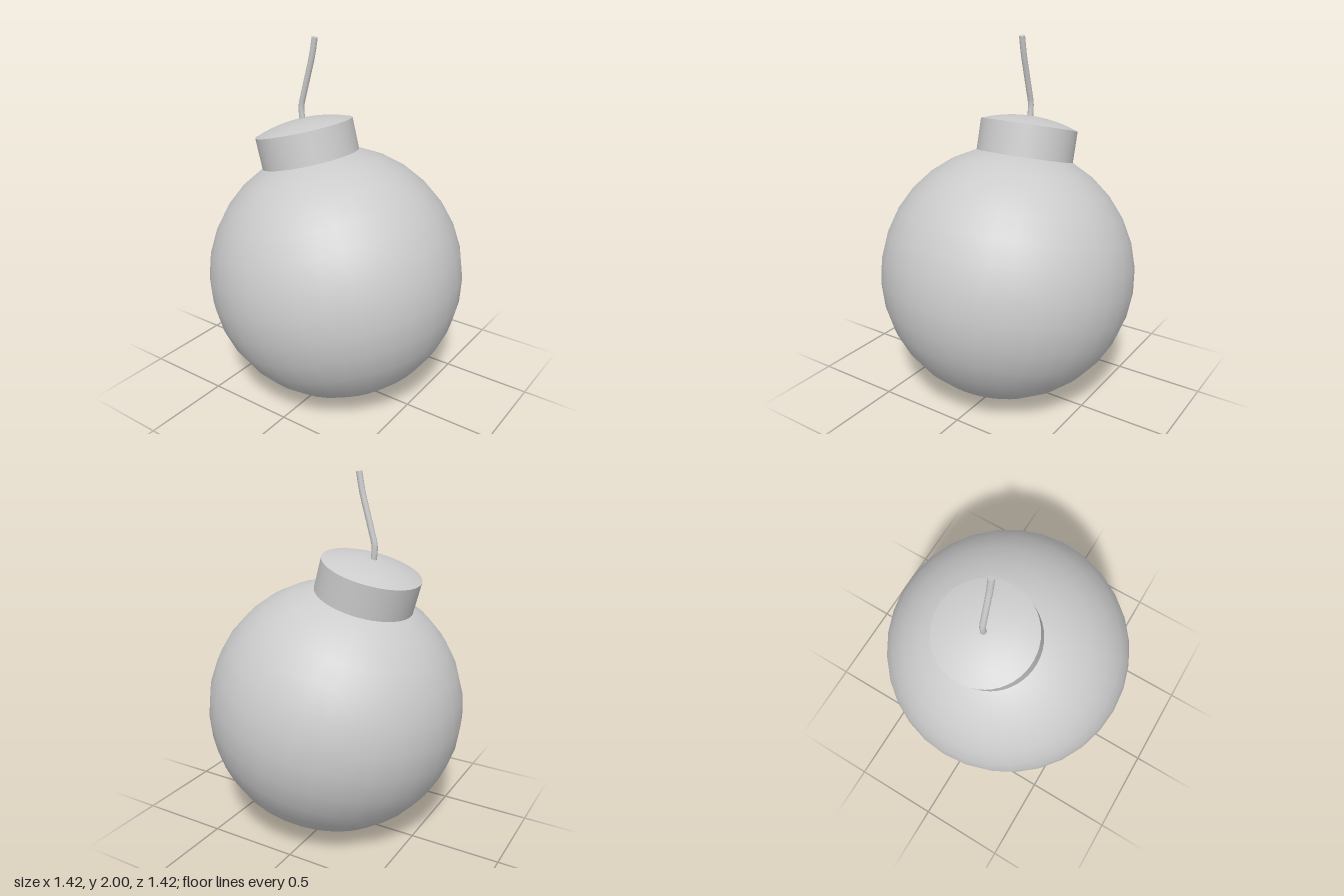
import * as THREE from 'three';

const R = 0.71;            // ball radius
const CAP_R = 0.27;        // collar radius
const CAP_TOP = 0.83;      // collar rim, measured from the ball centre
const DOME = 0.05;         // bulge of the collar lid
const FUSE_R = 0.016;

export function createModel() {
  const model = new THREE.Group();
  model.name = 'roundBomb';
  const grey = new THREE.MeshStandardMaterial({ color: 0xcccccc });
  const add = (parent, name, geometry) => {
    const mesh = new THREE.Mesh(geometry, grey);
    mesh.name = name;
    parent.add(mesh);
    return mesh;
  };

  // Ball and collar share one axis, leaning backwards
  const body = new THREE.Group();
  body.name = 'body';
  body.position.y = R;
  body.rotation.x = -THREE.MathUtils.degToRad(15);
  model.add(body);

  add(body, 'ball', new THREE.SphereGeometry(R, 32, 16));

  // Collar wall, its foot just inside the ball
  const foot = 0.65;
  add(body, 'collar', new THREE.CylinderGeometry(CAP_R, CAP_R, CAP_TOP - foot, 48, 1, true))
    .position.y = (CAP_TOP + foot) / 2;

  // Gently domed lid: a shallow slice of a larger sphere
  const lidR = (CAP_R ** 2 + DOME ** 2) / (2 * DOME);
  add(body, 'collarLid', new THREE.SphereGeometry(
    lidR, 48, 6, 0, Math.PI * 2, 0, Math.asin(CAP_R / lidR)
  )).position.y = CAP_TOP + DOME - lidR;

  // Bent fuse rising from the lid
  const path = new THREE.CatmullRomCurve3([
    [1.52, -0.218], [1.57, -0.226], [1.63, -0.228], [1.7, -0.21],
    [1.79, -0.184], [1.9, -0.153], [1.997, -0.134],
  ].map(([y, z]) => new THREE.Vector3(0, y, z)));
  add(model, 'fuse', new THREE.TubeGeometry(path, 24, FUSE_R, 12));

  // Flat end of the fuse
  const tip = add(model, 'fuseTip', new THREE.CircleGeometry(FUSE_R, 12));
  tip.position.copy(path.getPoint(1));
  tip.quaternion.setFromUnitVectors(new THREE.Vector3(0, 0, 1), path.getTangent(1));

  return model;
}
